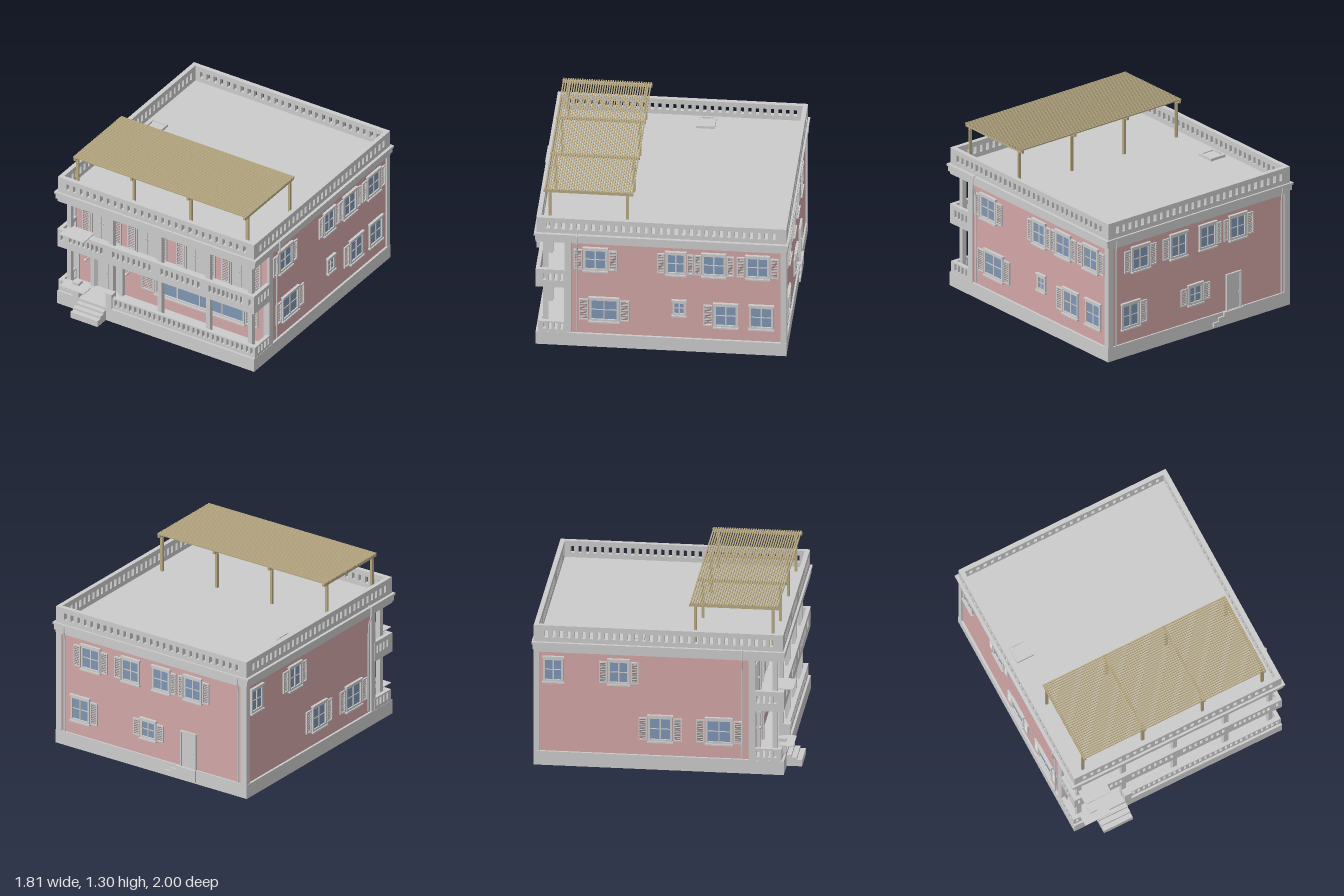
import * as THREE from 'three';

const mat = (color) => new THREE.MeshStandardMaterial({ color });
const grey = mat(0xcccccc), pink = mat(0xd2a6a6), glass = mat(0x7f96b4), wood = mat(0xb8a982);

// Box given by its min and max corners
function box(parent, name, x0, x1, y0, y1, z0, z1, material = grey) {
  const m = new THREE.Mesh(new THREE.BoxGeometry(x1 - x0, y1 - y0, z1 - z0), material);
  m.position.set((x0 + x1) / 2, (y0 + y1) / 2, (z0 + z1) / 2);
  m.name = name;
  parent.add(m);
  return m;
}

const rect = (P, x0, x1, y0, y1) => new P([[x0, y0], [x1, y0], [x1, y1], [x0, y1]].map((p) => new THREE.Vector2(...p)));

// Upright panel pierced by rectangular holes, local z from 0 to depth
function pierced(parent, name, x0, x1, y0, y1, holes, depth) {
  const shape = rect(THREE.Shape, x0, x1, y0, y1);
  holes.forEach((h) => shape.holes.push(rect(THREE.Path, ...h)));
  const m = new THREE.Mesh(new THREE.ExtrudeGeometry(shape, { depth, bevelEnabled: false }), grey);
  m.name = name;
  parent.add(m);
  return m;
}

// Row of n slots between a and b
function slots(a, b, n, y0, y1, w = 0.026) {
  return Array.from({ length: n }, (_, i) => {
    const c = a + ((b - a) * (i + 0.5)) / n;
    return [c - w / 2, c + w / 2, y0, y1];
  });
}

// Louvred shutter
function shutter(parent, x0, x1, y0, y1) {
  const g = new THREE.Group();
  g.name = 'shutter';
  const e = 0.01, n = Math.round((y1 - y0) / 0.016);
  pierced(g, 'shutterFrame', x0, x1, y0, y1, [[x0 + e, x1 - e, y0 + e, y1 - e]], 0.013);
  for (let i = 0; i < n; i++) {
    const y = y0 + e + ((y1 - y0 - 2 * e) * (i + 0.5)) / n;
    box(g, 'louvre', x0 + e, x1 - e, y - 0.007, y + 0.007, 0.005, 0.008).rotation.x = 0.6;
  }
  parent.add(g);
}

// Framed window with glazing bars, sill, lintel and optional shutters (left, right)
function windowUnit(parent, c, w, y0, y1, left = 0, right = 0, bars = 1) {
  const g = new THREE.Group(), a = c - w / 2, b = c + w / 2, e = 0.016;
  g.name = 'window';
  box(g, 'glass', a + e, b - e, y0 + e, y1 - e, -0.01, 0.003, glass);
  pierced(g, 'windowFrame', a, b, y0, y1, [[a + e, b - e, y0 + e, y1 - e]], 0.014);
  for (let i = 1; i <= bars; i++) {
    const x = a + (w * i) / (bars + 1);
    box(g, 'mullion', x - 0.005, x + 0.005, y0 + e, y1 - e, 0, 0.01);
  }
  if (bars === 1) box(g, 'glazingBar', a + e, b - e, (y0 + y1) / 2 - 0.003, (y0 + y1) / 2 + 0.003, 0, 0.008);
  box(g, 'sill', a - 0.006, b + 0.006, y0 - 0.012, y0, 0, 0.024);
  box(g, 'lintel', a - 0.006, b + 0.006, y1, y1 + 0.014, 0, 0.022);
  if (left) shutter(g, a - 0.008 - left, a - 0.008, y0 + 0.005, y1 - 0.01);
  if (right) shutter(g, b + 0.008, b + 0.008 + right, y0 + 0.005, y1 - 0.01);
  parent.add(g);
}

// Door with frame, leaves and knobs
function door(parent, c, w, y0, y1, leaves = 2) {
  const g = new THREE.Group(), a = c - w / 2, b = c + w / 2, e = 0.012;
  g.name = 'door';
  pierced(g, 'doorFrame', a - e, b + e, y0, y1 + e, [[a, b, y0 + 0.001, y1]], 0.016);
  for (let i = 0; i < leaves; i++) {
    const l = a + (w / leaves) * i + 0.002, r = a + (w / leaves) * (i + 1) - 0.002;
    box(g, 'doorLeaf', l, r, y0, y1, -0.01, 0.007);
    const k = i ? l + 0.01 : r - 0.01, ky = y0 + (y1 - y0) * 0.45;
    box(g, 'doorKnob', k - 0.004, k + 0.004, ky - 0.004, ky + 0.004, 0.007, 0.016);
  }
  parent.add(g);
}

function pipe(parent, points) {
  const path = new THREE.CatmullRomCurve3(points.map((p) => new THREE.Vector3(...p)), false, 'catmullrom', 0.05);
  const m = new THREE.Mesh(new THREE.TubeGeometry(path, 40, 0.006, 8), grey);
  m.name = 'drainpipe';
  parent.add(m);
}

export function createModel() {
  const house = new THREE.Group();
  house.name = 'house';

  // Plinth, walls and corner pilasters
  box(house, 'plinth', -0.87, 0.87, 0, 0.11, -0.985, 0.885);
  box(house, 'walls', -0.852, 0.852, 0.11, 0.91, -0.972, 0.66, pink);
  for (const s of [-1, 1]) {
    const [a, b] = s < 0 ? [-0.867, -0.815] : [0.815, 0.867];
    box(house, 'backPilaster', a, b, 0.11, 0.91, -0.985, -0.94);
    box(house, 'frontPilaster', a, b, 0.11, 0.51, 0.62, 0.672);
    box(house, 'frontPilasterUpper', s < 0 ? a : 0.845, s < 0 ? -0.845 : b, 0.51, 0.91, 0.62, 0.67);
  }

  // Cornice and roof
  box(house, 'corniceLower', -0.868, 0.868, 0.903, 0.925, -0.987, 0.885);
  box(house, 'corniceMiddle', -0.88, 0.88, 0.925, 0.968, -0.993, 0.89);
  box(house, 'roofSlab', -0.89, 0.89, 0.968, 0.985, -1, 0.897);

  // Slotted roof parapet with coping
  const parapet = new THREE.Group();
  parapet.name = 'parapet';
  const along = slots(-0.81, 0.81, 27, 1.02, 1.075), side = slots(-0.87, 0.87, 31, 1.02, 1.075);
  pierced(parapet, 'parapetFront', -0.867, 0.867, 0.985, 1.115, along, 0.035).position.z = 0.845;
  pierced(parapet, 'parapetBack', -0.867, 0.867, 0.985, 1.115, along, 0.035).position.z = -0.985;
  for (const x of [-0.867, 0.832]) {
    const m = pierced(parapet, 'parapetSide', -0.9, 0.9, 0.985, 1.115, side, 0.035);
    m.rotation.y = Math.PI / 2;
    m.position.set(x, 0, -0.05);
  }
  house.add(parapet);

  // Roof hatch
  pierced(house, 'hatchRim', -0.07, 0.07, -0.07, 0.07, [[-0.055, 0.055, -0.055, 0.055]], 0.02).position.set(-0.73, 0.24, 0);
  const rim = house.children[house.children.length - 1];
  rim.rotation.x = -Math.PI / 2;
  rim.position.set(-0.73, 0.985, -0.24);
  box(house, 'hatchLid', -0.785, -0.675, 0.985, 0.998, -0.295, -0.185);
  box(house, 'hatchHandle', -0.785, -0.778, 0.998, 1.012, -0.27, -0.21);

  // Pergola
  const pergola = new THREE.Group();
  pergola.name = 'pergola';
  for (const x of [-0.75, -0.25, 0.25, 0.75]) {
    for (const z of [0.79, 0.21]) {
      box(pergola, 'post', x - 0.009, x + 0.009, 0.985, 1.275, z - 0.01, z + 0.01, wood);
      box(pergola, 'postSleeve', x - 0.012, x + 0.012, 0.985, 1.26, z - 0.007, z + 0.007, wood);
    }
    box(pergola, 'beam', x - 0.009, x + 0.009, 1.272, 1.294, 0.165, 0.835, wood);
  }
  for (let i = 0; i < 38; i++) {
    const z = 0.175 + (i * 0.65) / 37;
    box(pergola, 'slat', -0.765, 0.765, 1.292, 1.303, z - 0.005, z + 0.005, wood);
  }
  house.add(pergola);

  // Columns of porch and balcony
  for (const x of [-0.8, -0.428, 0, 0.428, 0.8]) box(house, 'column', x - 0.018, x + 0.018, 0.11, 0.905, 0.795, 0.833);

  // Balcony: floor, slotted front and ends
  box(house, 'balconyFloor', -0.865, 0.865, 0.505, 0.535, 0.65, 0.88);
  const balconySlots = [[-0.775, -0.46], [-0.4, -0.03], [0.03, 0.4], [0.46, 0.775]]
    .flatMap(([a, b]) => slots(a, b, 8, 0.565, 0.625, 0.022));
  balconySlots.push(...slots(-0.85, -0.81, 1, 0.565, 0.625, 0.02), ...slots(0.81, 0.85, 1, 0.565, 0.625, 0.02));
  pierced(house, 'balconyFront', -0.868, 0.868, 0.505, 0.66, balconySlots, 0.03).position.z = 0.855;
  // Porch railing on both sides of the steps
  pierced(house, 'porchRailLeft', -0.868, -0.72, 0.11, 0.203, slots(-0.855, -0.735, 3, 0.135, 0.19, 0.02), 0.03).position.z = 0.838;
  pierced(house, 'porchRailRight', -0.4, 0.868, 0.11, 0.203, slots(-0.385, 0.86, 29, 0.135, 0.19, 0.02), 0.03).position.z = 0.838;
  for (const x of [-0.868, 0.838]) {
    for (const [y0, y1, s0, s1, z1] of [[0.505, 0.66, 0.565, 0.625, 0.88], [0.11, 0.203, 0.135, 0.19, 0.86]]) {
      const m = pierced(house, 'sideRail', -z1, -0.66, y0, y1, slots(-0.84, -0.67, 4, s0, s1, 0.022), 0.03);
      m.rotation.y = Math.PI / 2;
      m.position.x = x;
    }
  }
  for (const x of [-0.708, -0.418]) {
    box(house, 'railPedestal', x - 0.026, x + 0.026, 0.11, 0.23, 0.83, 0.885);
    box(house, 'pedestalCap', x - 0.03, x + 0.03, 0.228, 0.238, 0.826, 0.888);
  }
  // Thin ledges on the railings
  box(house, 'porchLedge', -0.81, -0.595, 0.205, 0.212, 0.84, 0.95);
  box(house, 'balconyLedge', -0.81, -0.595, 0.66, 0.667, 0.8, 0.95);

  // Front steps
  [[0.05, 1], [0.068, 0.96], [0.087, 0.92]].forEach(([y, z]) => box(house, 'step', -0.68, -0.44, 0, y, 0.88, z));

  // Facade groups: local x runs right, local z points outward
  const facade = (name, angle, x, z) => {
    const g = new THREE.Group();
    g.name = name;
    g.rotation.y = angle;
    g.position.set(x, 0, z);
    house.add(g);
    return g;
  };
  const front = facade('frontFacade', 0, 0, 0.66);
  const right = facade('rightFacade', Math.PI / 2, 0.852, 0);
  const left = facade('leftFacade', -Math.PI / 2, -0.852, 0);
  const back = facade('backFacade', Math.PI, 0, -0.972);

  // Balcony doors with shutters
  for (const x of [-0.615, -0.215, 0.215, 0.615]) {
    door(front, x, 0.165, 0.535, 0.84);
    box(front, 'doorLintel', x - 0.105, x + 0.105, 0.85, 0.866, 0, 0.025);
    shutter(front, x - 0.173, x - 0.103, 0.54, 0.84);
    shutter(front, x + 0.103, x + 0.173, 0.54, 0.84);
  }
  // Entrance with surround and wall lamps
  door(front, -0.56, 0.195, 0.11, 0.415);
  for (const x of [-0.685, -0.435]) box(front, 'entranceJamb', x - 0.018, x + 0.018, 0.11, 0.425, 0, 0.03);
  box(front, 'entranceLintel', -0.72, -0.4, 0.425, 0.442, 0, 0.04);
  box(front, 'entrancePanel', -0.72, -0.45, 0.452, 0.49, 0, 0.012);
  for (const x of [-0.742, -0.382]) {
    box(front, 'lampBracket', x - 0.004, x + 0.004, 0.312, 0.325, 0, 0.03);
    const lamp = new THREE.Mesh(new THREE.SphereGeometry(0.012, 12, 8), grey);
    lamp.name = 'wallLamp';
    lamp.position.set(x, 0.322, 0.035);
    front.add(lamp);
  }
  windowUnit(front, 0.25, 0.79, 0.225, 0.48, 0.11, 0.11, 3);

  // Right side windows: centre, width, bottom, top, shutters
  [[-0.44, 0.18, 0.668, 0.855, 0.065, 0.065], [0.16, 0.15, 0.668, 0.855, 0.055, 0.05],
    [0.443, 0.175, 0.668, 0.855, 0.05, 0.055], [0.77, 0.175, 0.668, 0.855, 0.06, 0.06],
    [-0.375, 0.22, 0.225, 0.42, 0.07, 0.07], [0.185, 0.1, 0.31, 0.43],
    [0.533, 0.18, 0.225, 0.42, 0.07, 0], [0.797, 0.18, 0.225, 0.42]].forEach((w) => windowUnit(right, ...w));
  // Left side windows
  [[-0.84, 0.15, 0.668, 0.855], [-0.35, 0.16, 0.668, 0.855, 0.06, 0.06],
    [-0.04, 0.18, 0.225, 0.42, 0.065, 0.065], [0.4, 0.2, 0.225, 0.42, 0.065, 0.065]].forEach((w) => windowUnit(left, ...w));
  // Back windows, door and low steps
  [[-0.555, 0.17, 0.668, 0.855, 0.06, 0.06], [-0.19, 0.16, 0.668, 0.855, 0.06, 0],
    [0.087, 0.16, 0.668, 0.855, 0, 0.045], [0.375, 0.16, 0.668, 0.855, 0.045, 0.06],
    [-0.65, 0.17, 0.225, 0.42, 0, 0.065], [-0.03, 0.14, 0.25, 0.4, 0.06, 0.06]].forEach((w) => windowUnit(back, ...w));
  door(back, 0.335, 0.12, 0.11, 0.39, 1);
  [[0.13, 0.05], [0.18, 0.08], [0.23, 0.11]].forEach(([x, y]) => box(back, 'backStep', x, 0.41, y - 0.035, y, 0, 0.027));

  // Drainpipes
  for (const s of [-1, 1]) {
    pipe(house, [[s * 0.868, 0.13, 0.575], [s * 0.872, 0.83, 0.575], [s * 0.898, 0.91, 0.575], [s * 0.898, 0.985, 0.575], [s * 0.87, 0.992, 0.575]]);
    pipe(house, [[s * 0.79, 0.11, -0.982], [s * 0.79, 0.86, -0.982], [s * 0.79, 0.93, -0.994], [s * 0.79, 0.985, -0.994]]);
  }
  return house;
}
